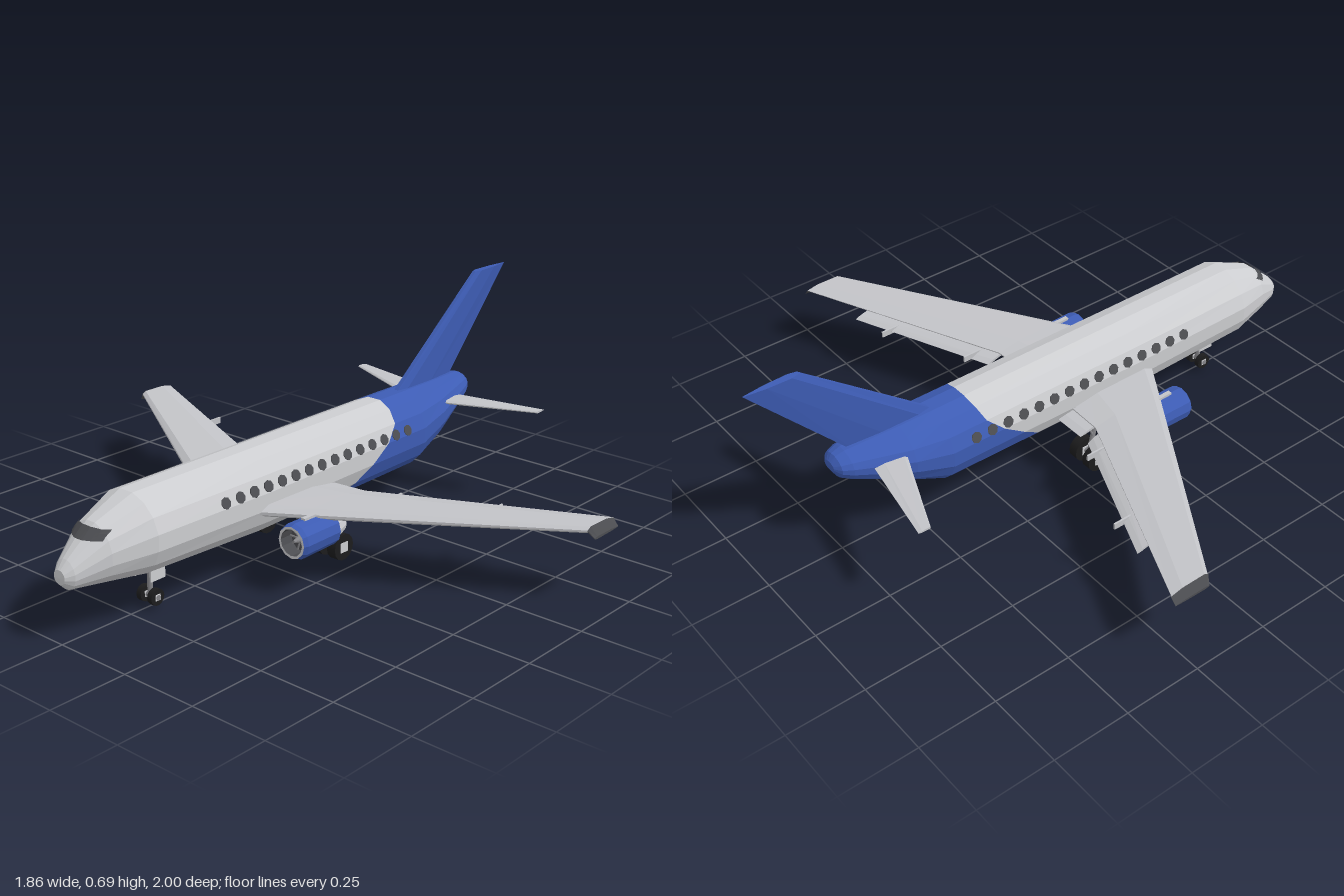
import * as THREE from 'three';

const paint = (name, color, side = THREE.FrontSide) => {
  const m = new THREE.MeshStandardMaterial({ color, side });
  m.name = name;
  return m;
};

// flat-shaded triangle soup from a list of Vector3 triples
function soup(tris) {
  const g = new THREE.BufferGeometry().setFromPoints(tris);
  g.computeVertexNormals();
  return g;
}

// closed loft through rings of points, capped, wound outwards
function loft(rings) {
  const t = [], n = rings[0].length;
  for (let i = 0; i < rings.length - 1; i++) {
    const a = rings[i], b = rings[i + 1];
    for (let k = 0; k < n; k++) {
      const l = (k + 1) % n;
      t.push(a[k], b[k], b[l], a[k], b[l], a[l]);
    }
  }
  const a = rings[0], b = rings[rings.length - 1];
  for (let k = 1; k < n - 1; k++) t.push(a[0], a[k], a[k + 1], b[0], b[k + 1], b[k]);
  let vol = 0;
  const c = new THREE.Vector3();
  for (let i = 0; i < t.length; i += 3) vol += t[i].dot(c.crossVectors(t[i + 1], t[i + 2]));
  if (vol < 0) for (let i = 0; i < t.length; i += 3) [t[i + 1], t[i + 2]] = [t[i + 2], t[i + 1]];
  return soup(t);
}

// wing section: chord fraction and half-thickness fraction
const FOIL = [[0, 0.25], [0.1, 1], [0.7, 0.9], [1, 0.1], [1, -0.1], [0.7, -0.7], [0.1, -1], [0, -0.25]];
const station = (x, z0, z1, y0, y1, th) => FOIL.map(([c, h]) =>
  new THREE.Vector3(x, y0 + (y1 - y0) * c + h * th / 2, z0 + (z1 - z0) * c));

// fuselage stations: z, bottom, top, half width
const BODY = [[1, 0.198, 0.198, 0], [0.997, 0.178, 0.22, 0.022], [0.975, 0.157, 0.245, 0.04], [0.88, 0.146, 0.325, 0.083],
  [0.75, 0.13, 0.375, 0.125], [0.3, 0.112, 0.375, 0.125], [-0.42, 0.125, 0.375, 0.125], [-0.54, 0.183, 0.373, 0.111],
  [-0.72, 0.272, 0.37, 0.062], [-0.75, 0.29, 0.362, 0.047], [-0.765, 0.315, 0.345, 0.025], [-0.767, 0.33, 0.33, 0]];
const SIDES = 16;
function interp(table, v) {
  let i = 0;
  while (i < table.length - 2 && v < table[i + 1][0]) i++;
  const a = table[i], b = table[i + 1], t = (v - a[0]) / (b[0] - a[0]);
  return a.map((p, j) => p + (b[j] - p) * t);
}
function skin(z, k) {
  const [, lo, hi, hw] = interp(BODY, z);
  const a = (k + 0.5) / SIDES * Math.PI * 2, s = 1 / Math.cos(Math.PI / SIDES);
  return new THREE.Vector3(Math.cos(a) * hw * s, (lo + hi) / 2 + Math.sin(a) * (hi - lo) / 2 * s, z);
}
// slanted colour boundary: height -> z
const SPLIT = [[0.375, -0.31], [0.3, -0.28], [0.25, -0.2], [0.14, -0.05]];

export function createModel() {
  const body = paint('bodyLightGrey', 0xcccdd0);
  const wingGrey = paint('wingGrey', 0xc2c3c7);
  const blue = paint('tailBlue', 0x3d5cb4);
  const bellyGrey = paint('bellyGrey', 0xa5a39d);
  const dark = paint('darkGrey', 0x4c4d51, THREE.DoubleSide);
  const black = paint('tyreBlack', 0x1c1c1d);
  const metal = paint('metalGrey', 0x858589);

  const root = new THREE.Group();
  root.name = 'airliner';
  const add = (name, geo, mat, x = 0, y = 0, z = 0, parent = root) => {
    const m = new THREE.Mesh(geo, mat);
    m.name = name;
    m.position.set(x, y, z);
    parent.add(m);
    return m;
  };
  const box = (name, mat, w, h, d, x, y, z) => add(name, new THREE.BoxGeometry(w, h, d), mat, x, y, z);
  const rod = (name, mat, a, b, r) => {
    const p = new THREE.Vector3(...a), q = new THREE.Vector3(...b);
    const m = add(name, new THREE.CylinderGeometry(r, r, p.distanceTo(q), 8), mat);
    m.position.copy(p).add(q).multiplyScalar(0.5);
    m.quaternion.setFromUnitVectors(new THREE.Vector3(0, 1, 0), q.sub(p).normalize());
  };

  // fuselage panels, sorted by colour
  const front = [], rear = [], belly = [];
  const zs = BODY.map(s => s[0]);
  for (let k = 0; k < SIDES; k++) {
    const isBelly = k >= 10 && k <= 12;
    const cut = j => isBelly ? -0.4 : interp(SPLIT, Math.min(0.375, Math.max(0.14, skin(0, j).y)))[1];
    const strip = (out, za, zb) => {
      for (let i = 0; i < za.length - 1; i++) {
        const a = skin(za[i], k), b = skin(za[i + 1], k), c = skin(zb[i + 1], k + 1), d = skin(zb[i], k + 1);
        const dst = isBelly && out === front && za[i] <= 0.75 ? belly : out;
        dst.push(a, d, c, a, c, b);
      }
    };
    const f = zs.filter(z => z > 0), r = zs.filter(z => z < 0);
    strip(front, [...f, cut(k)], [...f, cut(k + 1)]);
    strip(rear, [cut(k), ...r], [cut(k + 1), ...r]);
  }
  // outward winding check against the nose side
  const outward = t => {
    let s = 0;
    const e = new THREE.Vector3(), g = new THREE.Vector3();
    for (let i = 0; i < t.length; i += 3) {
      e.subVectors(t[i + 1], t[i]).cross(g.subVectors(t[i + 2], t[i]));
      s += e.x * t[i].x + e.y * (t[i].y - 0.245);
    }
    if (s < 0) for (let i = 0; i < t.length; i += 3) [t[i + 1], t[i + 2]] = [t[i + 2], t[i + 1]];
    return soup(t);
  };
  const hull = add('fuselage', outward(front), body);
  add('tailCone', outward(rear), blue);
  add('belly', outward(belly), bellyGrey);

  // windscreen band laid onto the nose
  hull.updateMatrixWorld();
  const ray = new THREE.Raycaster();
  const onNose = (x, y) => {
    ray.set(new THREE.Vector3(x, y, 2), new THREE.Vector3(0, 0, -1));
    const h = ray.intersectObject(hull)[0];
    return h.point.clone().addScaledVector(h.face.normal, 0.004);
  };
  const glass = [], NX = 16, NY = 3;
  const gp = (i, j) => {
    const u = i / NX * 2 - 1;
    return onNose(u * 0.06 + 0.0003, 0.286 + j / NY * (0.029 - 0.006 * u * u));
  };
  for (let i = 0; i < NX; i++) for (let j = 0; j < NY; j++) {
    const a = gp(i, j), b = gp(i + 1, j), c = gp(i + 1, j + 1), d = gp(i, j + 1);
    glass.push(a, b, c, a, c, d);
  }
  add('windscreen', soup(glass), dark);

  // vertical fin: blunt leading edge, thin trailing edge
  const fin = (y, z0, z1, w) => [[0, 0.5], [0.15, 1], [0.6, 0.8], [1, 0.1], [1, -0.1], [0.6, -0.8], [0.15, -1], [0, -0.5]]
    .map(([c, h]) => new THREE.Vector3(h * w, y, z0 + (z1 - z0) * c));
  add('verticalFin', loft([fin(0.33, -0.365, -0.67, 0.016), fin(0.694, -0.83, -1, 0.012)]), blue);

  for (const s of [1, -1]) {
    // wing, tip and flaps
    add('wing', loft([station(s * 0.06, 0.39, 0.03, 0.215, 0.215, 0.04), station(s * 0.24, 0.277, 0.02, 0.217, 0.219, 0.034),
      station(s * 0.912, -0.148, -0.28, 0.226, 0.227, 0.02)]), wingGrey);
    add('wingTip', loft([station(s * 0.912, -0.146, -0.282, 0.226, 0.226, 0.022),
      station(s * 0.93, -0.157, -0.28, 0.205, 0.205, 0.008)]), dark);
    add('innerFlap', loft([station(s * 0.1, 0.06, -0.022, 0.21, 0.193, 0.01), station(s * 0.22, 0.06, -0.022, 0.21, 0.193, 0.01)]), wingGrey);
    add('outerFlap', loft([station(s * 0.25, 0.05, -0.018, 0.207, 0.185, 0.01), station(s * 0.71, -0.16, -0.222, 0.212, 0.196, 0.008)]), wingGrey);
    for (const [x, z] of [[0.31, -0.01], [0.585, -0.14]])
      box('flapTrack', wingGrey, 0.006, 0.02, 0.12, s * x, 0.195, z);

    // tailplane
    add('tailplane', loft([station(s * 0.03, -0.535, -0.655, 0.317, 0.317, 0.014),
      station(s * 0.375, -0.68, -0.72, 0.317, 0.317, 0.007)]), wingGrey);

    // cabin windows, tilted with the side panels
    for (let i = 0; i < 15; i++) {
      const w = add('cabinWindow', new THREE.CylinderGeometry(0.018, 0.018, 0.004, 8), dark, s * 0.119, 0.288, 0.485 - i * 0.0586);
      w.rotation.z = -s * (Math.PI / 2 - 0.38);
    }

    // engine
    const eng = new THREE.Group();
    eng.name = 'engine';
    eng.position.set(s * 0.253, 0.165, 0);
    root.add(eng);
    const tube = (name, mat, rFront, rBack, zf, zb, open = false) => {
      const g = new THREE.CylinderGeometry(rFront, rBack, zf - zb, 12, 1, open).rotateX(Math.PI / 2).toNonIndexed();
      g.computeVertexNormals();
      add(name, g, mat, 0, 0, (zf + zb) / 2, eng);
    };
    tube('nacelle', blue, 0.055, 0.053, 0.345, 0.205, true);
    tube('nacelleLip', blue, 0.049, 0.055, 0.36, 0.345, true);
    add('intakeRing', new THREE.RingGeometry(0.041, 0.049, 12), body, 0, 0, 0.36, eng);
    tube('intakeWall', dark, 0.041, 0.041, 0.36, 0.31, true);
    tube('fanDisc', dark, 0.041, 0.041, 0.315, 0.31);
    tube('fanHub', metal, 0.004, 0.014, 0.35, 0.315);
    for (let i = 0; i < 5; i++)
      add('fanBlades', new THREE.BoxGeometry(0.078, 0.004, 0.004), metal, 0, 0, 0.32, eng).rotation.z = i * Math.PI / 5;
    tube('nacelleBack', blue, 0.053, 0.045, 0.21, 0.203);
    tube('exhaustCone', body, 0.046, 0.028, 0.203, 0.15);
    box('pylon', wingGrey, 0.014, 0.03, 0.14, s * 0.253, 0.21, 0.24);

    // main gear
    rod('mainStrut', metal, [s * 0.155, 0.042, 0.07], [s * 0.145, 0.205, 0.115], 0.008);
    rod('mainBrace', metal, [s * 0.155, 0.1, 0.085], [s * 0.13, 0.2, 0.05], 0.004);
    box('mainGearDoor', wingGrey, 0.034, 0.06, 0.008, s * 0.148, 0.18, 0.12);
    rod('mainAxle', metal, [s * 0.106, 0.042, 0.07], [s * 0.204, 0.042, 0.07], 0.01);
    rod('noseAxle', metal, [0, 0.036, 0.675], [s * 0.036, 0.036, 0.675], 0.008);
    const wheel = (name, x, y, z, r, w) => {
      add(name, new THREE.CylinderGeometry(r, r, w, 14).rotateZ(Math.PI / 2), black, x, y, z);
      add(name + 'Hub', new THREE.BoxGeometry(w + 0.004, r * 0.75, r * 0.75), body, x, y, z);
    };
    wheel('mainWheel', s * 0.124, 0.042, 0.07, 0.042, 0.032);
    wheel('mainWheel', s * 0.187, 0.042, 0.07, 0.042, 0.032);
    wheel('noseWheel', s * 0.022, 0.036, 0.675, 0.025, 0.018);
    box('noseGearDoor', body, 0.005, 0.045, 0.055, s * 0.033, 0.115, 0.675);
  }
  rod('noseStrut', metal, [0, 0.036, 0.675], [0, 0.15, 0.675], 0.008);
  return root;
}
